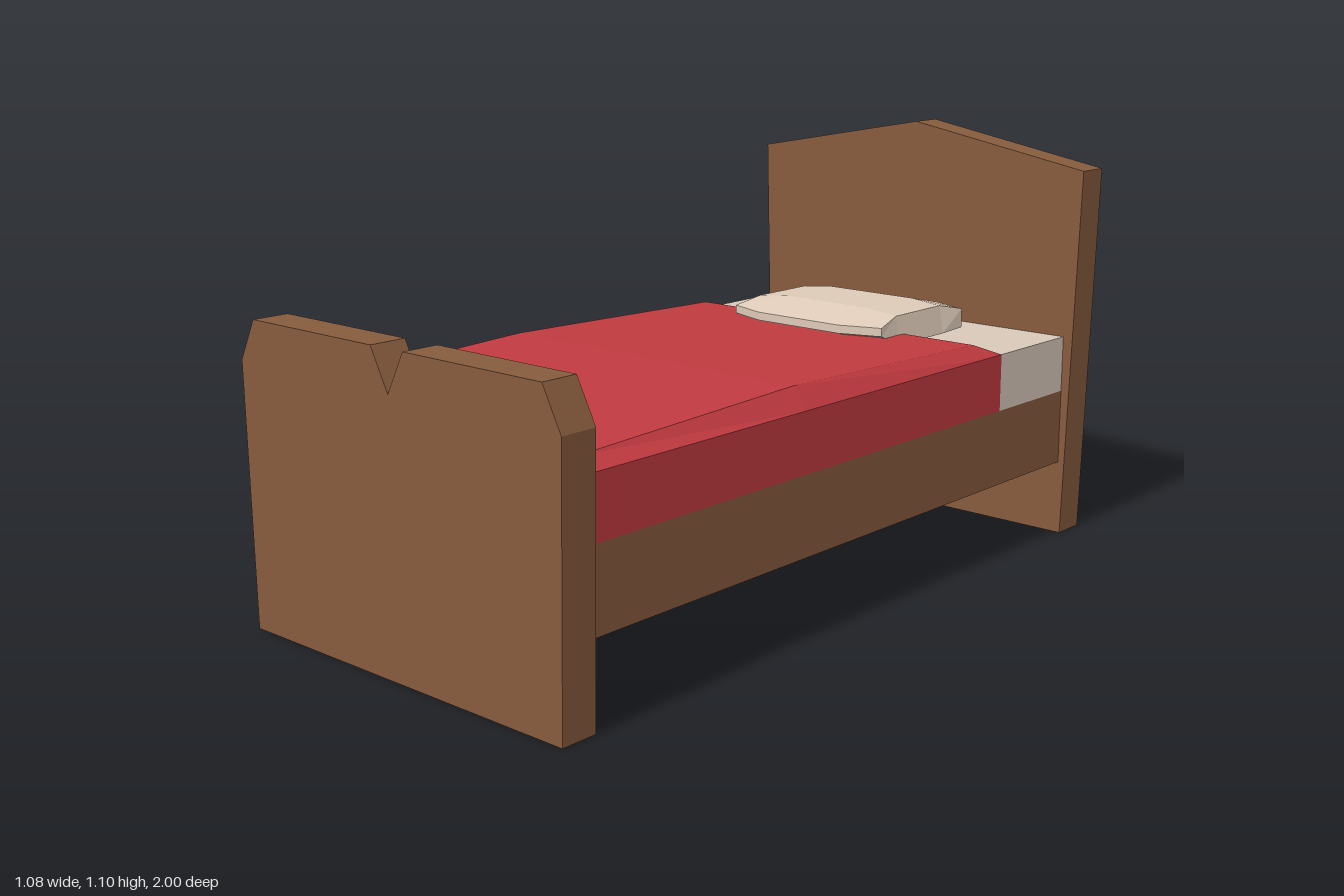
import * as THREE from 'three';

const material = (name, color) => {
  const m = new THREE.MeshStandardMaterial({ color });
  m.name = name;
  return m;
};

// Non-indexed copy with one normal per face
function faceted(geometry) {
  const flat = geometry.index ? geometry.toNonIndexed() : geometry;
  flat.computeVertexNormals();
  return flat;
}

// Upright board, 0.1 thick, from half an outline mirrored across x = 0
function boardGeometry(half, z) {
  const left = half.map(([x, y]) => [-x, y]).reverse();
  const points = [...half, ...left].map(([x, y]) => new THREE.Vector2(x, y));
  return new THREE.ExtrudeGeometry(new THREE.Shape(points), { depth: 0.095, bevelEnabled: false })
    .translate(0, 0, z);
}

// Draped cover lofted through cross-sections along z
function blanketGeometry() {
  const stations = [[-0.6, 0.5, 0.55], [-0.53, 0.457, 0.58], [0.2, 0.455, 0.6], [0.905, 0.455, 0.576]];
  const positions = [];
  const index = [];
  for (const [z, w, top] of stations) {
    for (const [x, y] of [[-0.5, 0.4], [-0.5, 0.55], [-w, top], [w, top], [0.5, 0.55], [0.5, 0.4]]) {
      positions.push(x, y, z);
    }
  }
  for (let i = 0; i < stations.length - 1; i++) {
    for (let j = 0; j < 5; j++) {
      const a = i * 6 + j, c = a + 6;
      index.push(a, c, a + 1, a + 1, c, c + 1);
    }
  }
  const g = new THREE.BufferGeometry();
  g.setAttribute('position', new THREE.Float32BufferAttribute(positions, 3));
  g.setIndex(index);
  return faceted(g);
}

// Puffy pillow: 3 x 3 box with pulled-in corners and a raised middle
function pillowGeometry() {
  const g = new THREE.BoxGeometry(2, 2, 2, 3, 1, 3);
  const p = g.attributes.position;
  for (let i = 0; i < p.count; i++) {
    const x = p.getX(i), z = p.getZ(i), isTop = p.getY(i) > 0;
    const outerX = Math.abs(x) > 0.9, outerZ = Math.abs(z) > 0.9;
    const halfX = outerX ? (outerZ ? 0.248 : isTop ? 0.232 : 0.245) : 0.135;
    const halfZ = outerZ ? (outerX ? 0.185 : 0.224) : 0.1;
    let y;
    if (isTop) y = outerZ ? 0.612 : outerX ? 0.63 : 0.64;
    else y = outerZ ? (z > 0 ? 0.59 : 0.56) : 0.555;
    p.setXYZ(i, Math.sign(x) * halfX, y, -0.605 + Math.sign(z) * halfZ);
  }
  return faceted(g);
}

export function createModel() {
  const wood = material('wood', 0x865b3d);
  const red = material('red blanket', 0xc03a40);
  const linen = material('sheet linen', 0xd8c9ba);
  const cream = material('pillow cream', 0xdecbb9);

  const bed = new THREE.Group();
  bed.name = 'bed';
  const add = (name, geometry, mat) => {
    const mesh = new THREE.Mesh(geometry, mat);
    mesh.name = name;
    bed.add(mesh);
  };

  // Boards at each end
  add('headboard', boardGeometry([[0.513, 0], [0.54, 1], [0, 1.1]], -1), wood);
  add('footboard', boardGeometry(
    [[0.513, 0], [0.525, 0.65], [0.473, 0.75], [0.053, 0.75], [0, 0.65]], 0.905), wood);

  // Base and bedding
  add('bedFrame', new THREE.BoxGeometry(1, 0.2, 1.81).translate(0, 0.3, 0), wood);
  add('mattress', new THREE.BoxGeometry(1, 0.15, 0.305).translate(0, 0.475, -0.7525), linen);
  add('blanket', blanketGeometry(), red);
  add('pillow', pillowGeometry(), cream);

  return bed;
}
